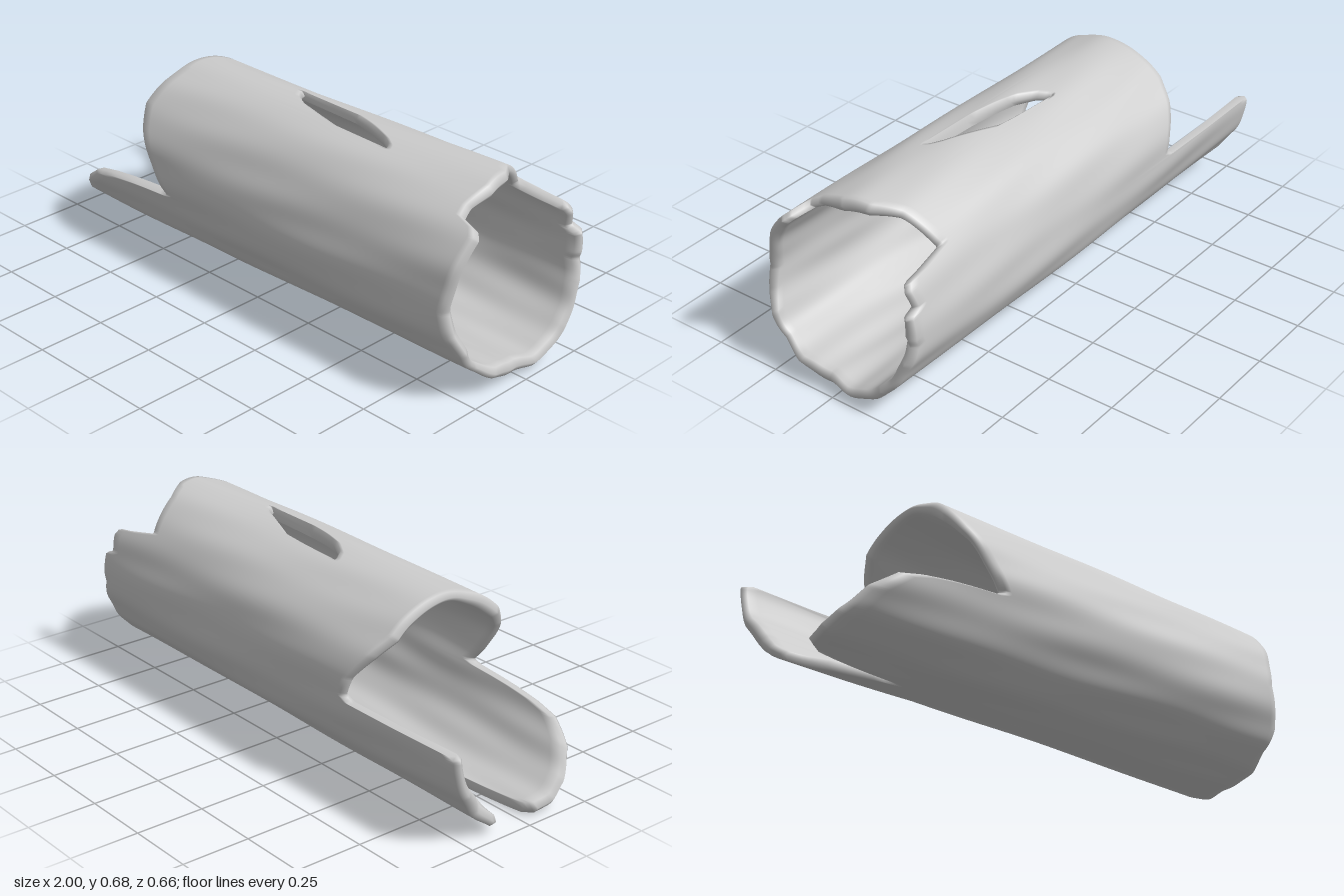
import * as THREE from 'three';
import { mergeVertices } from 'three/addons/utils/BufferGeometryUtils.js';

// Edge tables: [degrees around the trunk, x]. 0 = top, 90 = front, 180 = bottom, 270 = back.
const LEFT_EDGE = [
  [0, -0.56], [25, -0.565], [47, -0.575], [62, -0.54], [75, -0.49], [90, -0.43], [99, -0.39], [101, -0.41],
  [103, -0.58], [106, -0.71], [110, -0.8], [117, -0.85], [123, -0.89], [143, -0.95], [157, -0.97],
  [170, -0.96], [174, -0.92], [176, -0.8], [179, -0.6], [181, -0.57], [183.5, -0.65], [190, -0.79],
  [196, -0.87], [199, -0.94], [207, -0.97], [222, -0.96], [240, -0.985], [266, -0.985],
  [267.5, -0.96], [270, -0.48], [273, -0.44], [285, -0.46], [302, -0.52], [318, -0.56], [360, -0.56],
];
const RIGHT_EDGE = [
  [0, 0.84], [9, 0.85], [27, 0.84], [35, 0.85], [39, 0.92], [44, 0.94], [63, 0.93], [91, 0.91],
  [105, 0.93], [119, 0.96], [135, 0.955], [152, 0.98], [175, 0.965], [190, 0.98], [220, 0.98],
  [250, 0.96], [264, 0.94], [268, 0.95], [283, 0.95], [286, 0.91], [297, 0.925], [302, 0.91],
  [304, 0.84], [309, 0.72], [313, 0.73], [336, 0.77], [351, 0.83], [360, 0.84],
];
// Both sides of the knothole; they meet wherever the wall is whole
const HOLE_START = [
  [0, -0.035], [3.5, 0], [8, 0.1], [11.4, 0.2], [12.5, 0.43], [347.5, -0.1], [349.5, -0.1], [356.5, -0.07], [360, -0.035],
];
const HOLE_END = [
  [0, 0.33], [3.5, 0.38], [8, 0.42], [11.4, 0.43], [12.5, 0.43], [347.5, -0.1], [349.5, 0.17], [356.5, 0.28], [360, 0.33],
];

function lookup(table, deg) {
  let i = 1;
  while (i < table.length - 1 && table[i][0] < deg) i++;
  const [d0, v0] = table[i - 1], [d1, v1] = table[i];
  return v0 + (v1 - v0) * (deg - d0) / (d1 - d0);
}

// Low lumps and long grain ridges in the bark
function bumps(x, a) {
  return 0.004 * Math.sin(3 * a + 2.1 * x + 0.6)
    + 0.003 * Math.sin(5 * a - 3.3 * x)
    + 0.0025 * Math.sin(9 * a + 4 * x + 1.3) * Math.sin(5 * x + 2 * a)
    + 0.002 * Math.sin(17 * a + 1.5 * x) * (0.6 - 0.4 * Math.cos(a));
}

function trunkPoint(x, a, layer) {
  // The back plank twists slightly upward toward its free end
  const twist = THREE.MathUtils.clamp((-0.45 - x) / 0.55, 0, 1) * Math.max(0, -Math.sin(a)) ** 2;
  const b = a + 0.08 * twist;
  const wall = 0.038 + 0.006 * Math.sin(4 * a + 2 * x) + 0.003 * Math.sin(7 * a - 6 * x);
  const r = 0.326 + bumps(x, a) - wall * layer;
  return [x, 0.338 + 0.01 * x + r * Math.cos(b), r * Math.sin(b)];
}

const COLUMNS = 288, ROWS = 26, LOOP = 2 * ROWS + 4, BULGE = 0.015;

// One half of the trunk: each column is a closed loop of outer wall, rim, inner wall, rim
function addHalf(start, end, seamAtEnd, positions, indices) {
  const base = positions.length / 3;
  const solid = [];
  for (let j = 0; j < COLUMNS; j++) {
    const deg = j * 360 / COLUMNS, a = THREE.MathUtils.degToRad(deg);
    const x0 = lookup(start, deg), x1 = lookup(end, deg);
    solid.push(lookup(HOLE_END, deg) - lookup(HOLE_START, deg) < 1e-6);
    const xAt = (k) => x0 + (x1 - x0) * k / ROWS;
    for (let k = 0; k <= ROWS; k++) positions.push(...trunkPoint(xAt(k), a, 0));
    positions.push(...trunkPoint(x1 + BULGE, a, 0.5));
    for (let k = ROWS; k >= 0; k--) positions.push(...trunkPoint(xAt(k), a, 1));
    positions.push(...trunkPoint(x0 - BULGE, a, 0.5));
  }
  const seamRows = seamAtEnd ? [ROWS, ROWS + 1] : [LOOP - 2, LOOP - 1];
  for (let j = 0; j < COLUMNS; j++) {
    const next = (j + 1) % COLUMNS;
    for (let k = 0; k < LOOP; k++) {
      // No rim where the two halves join
      if (seamRows.includes(k) && solid[j] && solid[next]) continue;
      const k1 = (k + 1) % LOOP;
      const p = base + j * LOOP + k, q = base + next * LOOP + k;
      const r = base + next * LOOP + k1, s = base + j * LOOP + k1;
      indices.push(p, q, s, q, r, s);
    }
  }
}

export function createModel() {
  const group = new THREE.Group();
  group.name = 'hollowLog';

  const positions = [], indices = [];
  addHalf(LEFT_EDGE, HOLE_START, true, positions, indices);
  addHalf(HOLE_END, RIGHT_EDGE, false, positions, indices);

  let geometry = new THREE.BufferGeometry();
  geometry.setAttribute('position', new THREE.Float32BufferAttribute(positions, 3));
  geometry.setIndex(indices);
  geometry = mergeVertices(geometry, 1e-5);
  geometry.computeVertexNormals();
  geometry.computeBoundingBox();
  geometry.translate(0, -geometry.boundingBox.min.y, 0);

  const trunk = new THREE.Mesh(geometry, new THREE.MeshStandardMaterial({ color: 0xcccccc, side: THREE.DoubleSide }));
  trunk.name = 'hollowTrunk';
  group.add(trunk);
  return group;
}
